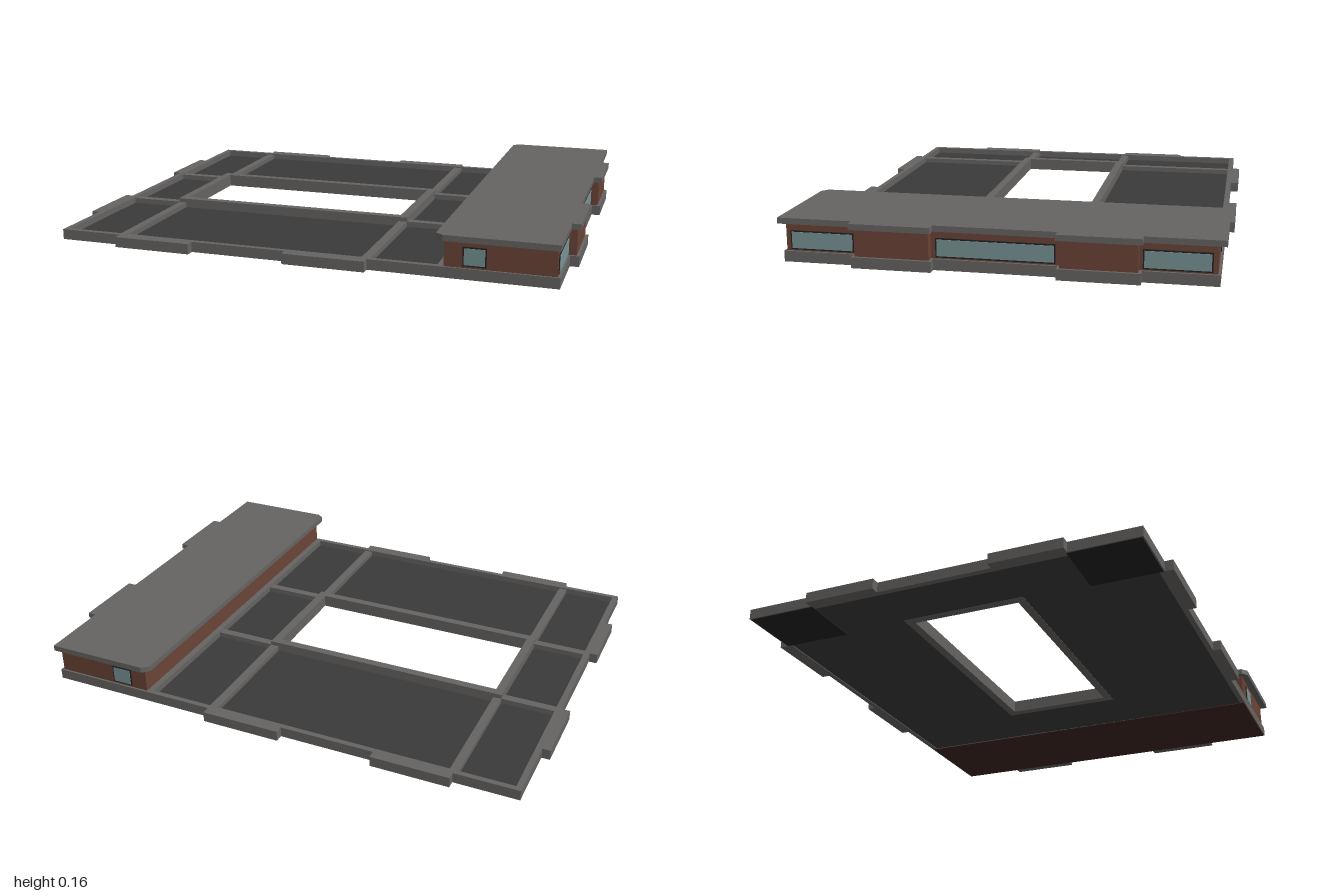
import * as THREE from 'three';

const mat = (color) => new THREE.MeshStandardMaterial({ color, flatShading: true });
const concrete = mat(0x666462), deckMat = mat(0x3a3a3a), brick = mat(0x6b4436);
const glass = mat(0x789496), dark = mat(0x222222), soil = mat(0x3c2620);

export function createModel() {
  const model = new THREE.Group();

  const add = (name, geometry, material) => {
    const mesh = new THREE.Mesh(geometry, material);
    mesh.name = name;
    model.add(mesh);
    return mesh;
  };
  // Box given by its limits on each axis
  const block = (name, x0, x1, y0, y1, z0, z1, material) => {
    const g = new THREE.BoxGeometry(x1 - x0, y1 - y0, z1 - z0);
    g.translate((x0 + x1) / 2, (y0 + y1) / 2, (z0 + z1) / 2);
    return add(name, g, material);
  };
  const toPoints = (list) => list.map(([x, z]) => new THREE.Vector2(x, z));
  const rect = (x0, x1, z) => [[x0, -z], [x1, -z], [x1, z], [x0, z]];
  // Horizontal plate from a plan outline with an optional hole
  const plate = (name, outline, hole, y0, y1, material) => {
    const shape = new THREE.Shape(toPoints(outline));
    if (hole) shape.holes.push(new THREE.Path(toPoints(hole)));
    const g = new THREE.ExtrudeGeometry(shape, { depth: y1 - y0, bevelEnabled: false });
    g.rotateX(-Math.PI / 2).translate(0, y0, 0);
    return add(name, g, material);
  };
  // Stepped side: two bays projecting from x to xBay
  const baySide = (x, xBay, a, b) => [
    [x, -b], [xBay, -b], [xBay, -a], [x, -a], [x, a], [xBay, a], [xBay, b], [x, b],
  ];
  // Stepped front or back edge, running from left to right
  const baysAlong = (z, zBay) => [
    [-0.72, z], [-0.72, zBay], [-0.415, zBay], [-0.415, z],
    [-0.04, z], [-0.04, zBay], [0.275, zBay], [0.275, z],
  ];

  // Perimeter wall with projecting bays
  const E = 0.773;
  const outline = [
    [-0.968, -E], ...baysAlong(-E, -0.805), [0.962, -E],
    ...baySide(0.962, 0.995, 0.22, 0.51),
    [0.962, E], ...baysAlong(E, 0.805).reverse(), [-0.968, E],
    ...baySide(-0.968, -1, 0.225, 0.505).reverse(),
  ];
  plate('perimeterWall', outline, rect(-0.945, 0.53, 0.752), 0, 0.04, concrete);

  // Sunken deck around the courtyard
  plate('deck', rect(-0.95, 0.535, 0.757), rect(-0.705, 0.25, 0.215), 0.003, 0.015, deckMat);

  // Raised walls of the courtyard
  plate('courtyardWall', rect(-0.733, 0.28, 0.245), rect(-0.7, 0.245, 0.212), 0.002, 0.052, concrete);

  // Low dividers between the deck bays
  for (const s of [-1, 1]) {
    const z0 = s > 0 ? 0.243 : -0.755, z1 = s > 0 ? 0.755 : -0.243;
    block('crossDivider', -0.733, -0.7, 0.01, 0.035, z0, z1, concrete);
    block('crossDivider', 0.245, 0.28, 0.01, 0.035, z0, z1, concrete);
    const a = s > 0 ? 0.212 : -0.245, b = s > 0 ? 0.245 : -0.212;
    block('longDivider', -0.948, -0.732, 0.01, 0.036, a, b, concrete);
    block('longDivider', 0.279, 0.56, 0.01, 0.036, a, b, concrete);
    // Dark corner panel on the underside
    const c = s > 0 ? 0.5 : -0.768, d = s > 0 ? 0.768 : -0.5;
    block('cornerUnderside', -0.963, -0.72, -0.001, 0.003, c, d, dark);
  }
  block('buildingUnderside', 0.53, 0.958, -0.001, 0.003, -0.769, 0.769, soil);

  // Brick building along one side, with two projecting bays
  plate('brickWalls', [
    [0.555, -0.765], [0.952, -0.765], ...baySide(0.952, 0.984, 0.23, 0.5),
    [0.952, 0.765], [0.555, 0.765],
  ], null, 0.038, 0.142, brick);

  // Flat roof with chamfered inner corners
  plate('roof', [
    [0.527, -0.772], [0.555, -0.793], [0.964, -0.793], ...baySide(0.964, 0.998, 0.22, 0.515),
    [0.964, 0.793], [0.555, 0.793], [0.527, 0.772],
  ], null, 0.14, 0.162, concrete);

  // Framed windows on the long side
  const f = 0.005;
  for (const [z0, z1] of [[-0.748, -0.512], [-0.213, 0.213], [0.512, 0.748]]) {
    block('windowFrame', 0.945, 0.955, 0.045, 0.115, z0, z1, dark);
    block('windowGlass', 0.945, 0.957, 0.045 + f, 0.115 - f, z0 + f, z1 - f, glass);
  }
  // Small windows on both ends
  for (const s of [-1, 1]) {
    const end = (name, inset, depth, material) => {
      const z = s * 0.76, out = s * (0.765 + depth);
      block(name, 0.622 + inset, 0.707 - inset, 0.047 + inset, 0.118 - inset,
        Math.min(z, out), Math.max(z, out), material);
    };
    end('endWindowFrame', 0, 0.003, dark);
    end('endWindowGlass', f, 0.005, glass);
  }
  return model;
}
